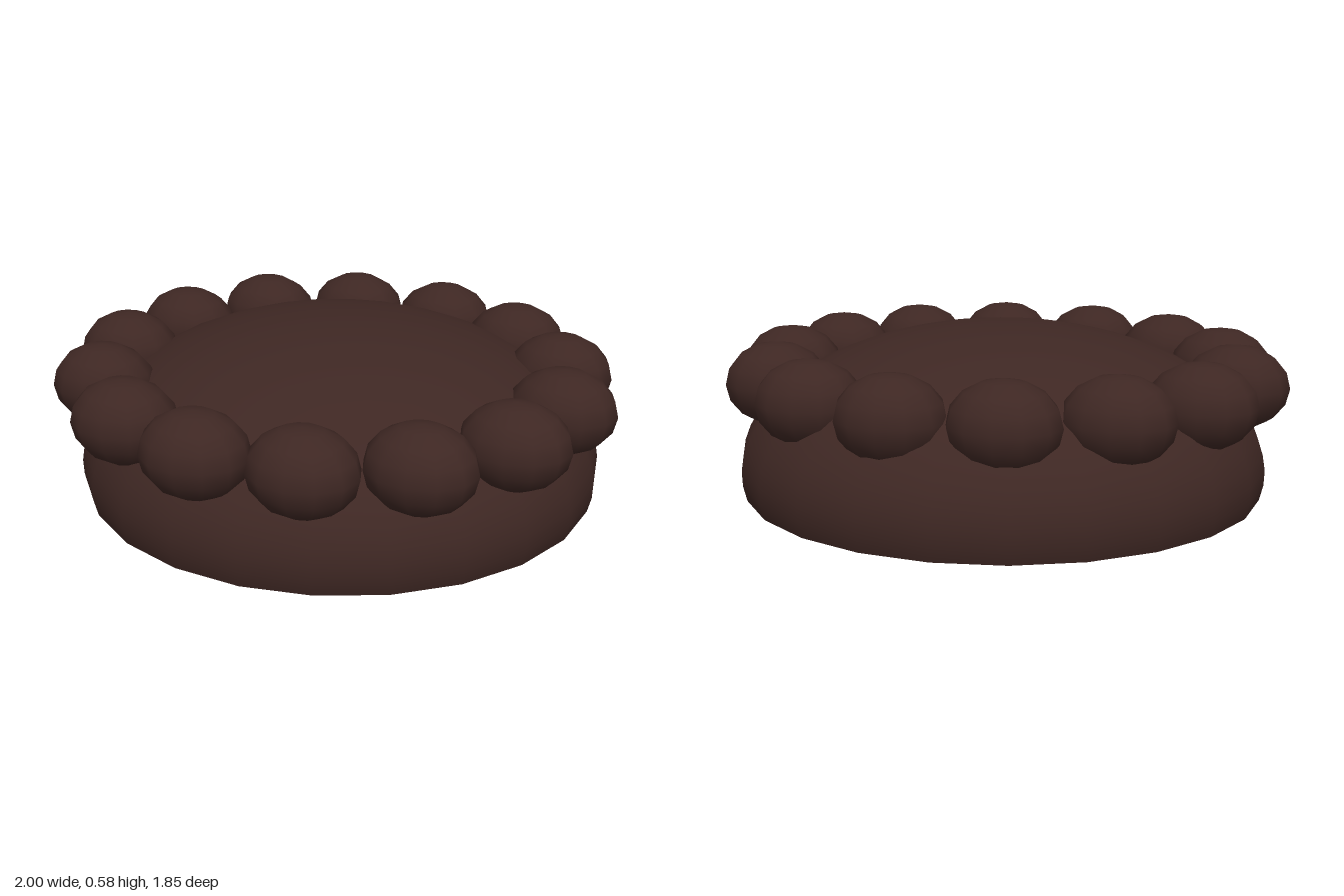
import * as THREE from 'three';

export function createModel() {
  const group = new THREE.Group();
  const brown = new THREE.MeshStandardMaterial({ color: 0x3e2723, side: THREE.DoubleSide });

  // Hollow domed shell, open underneath
  const centreY = 0.09, height = 0.49;
  const shellGeometry = new THREE.SphereGeometry(1, 24, 16, 0, Math.PI * 2, 0, Math.acos(-centreY / height));
  const shell = new THREE.Mesh(shellGeometry, brown);
  shell.name = 'domeShell';
  shell.scale.set(0.93, height, 0.9);
  shell.position.set(0, centreY, -0.025);
  group.add(shell);

  // Ring of rounded beads around the shoulder of the dome
  const ring = new THREE.Group();
  ring.name = 'beadRing';
  ring.position.set(0, 0.385, 0.025);
  const beadGeometry = new THREE.SphereGeometry(1, 12, 8);
  const count = 14;
  for (let i = 0; i < count; i++) {
    const a = ((i + 0.5) / count) * Math.PI * 2;
    const bead = new THREE.Mesh(beadGeometry, brown);
    bead.name = 'bead' + (i + 1);
    bead.scale.set(0.185, 0.147, 0.155);
    bead.position.set(Math.sin(a) * 0.815, 0, Math.cos(a) * 0.76);
    ring.add(bead);
  }
  group.add(ring);

  return group;
}
